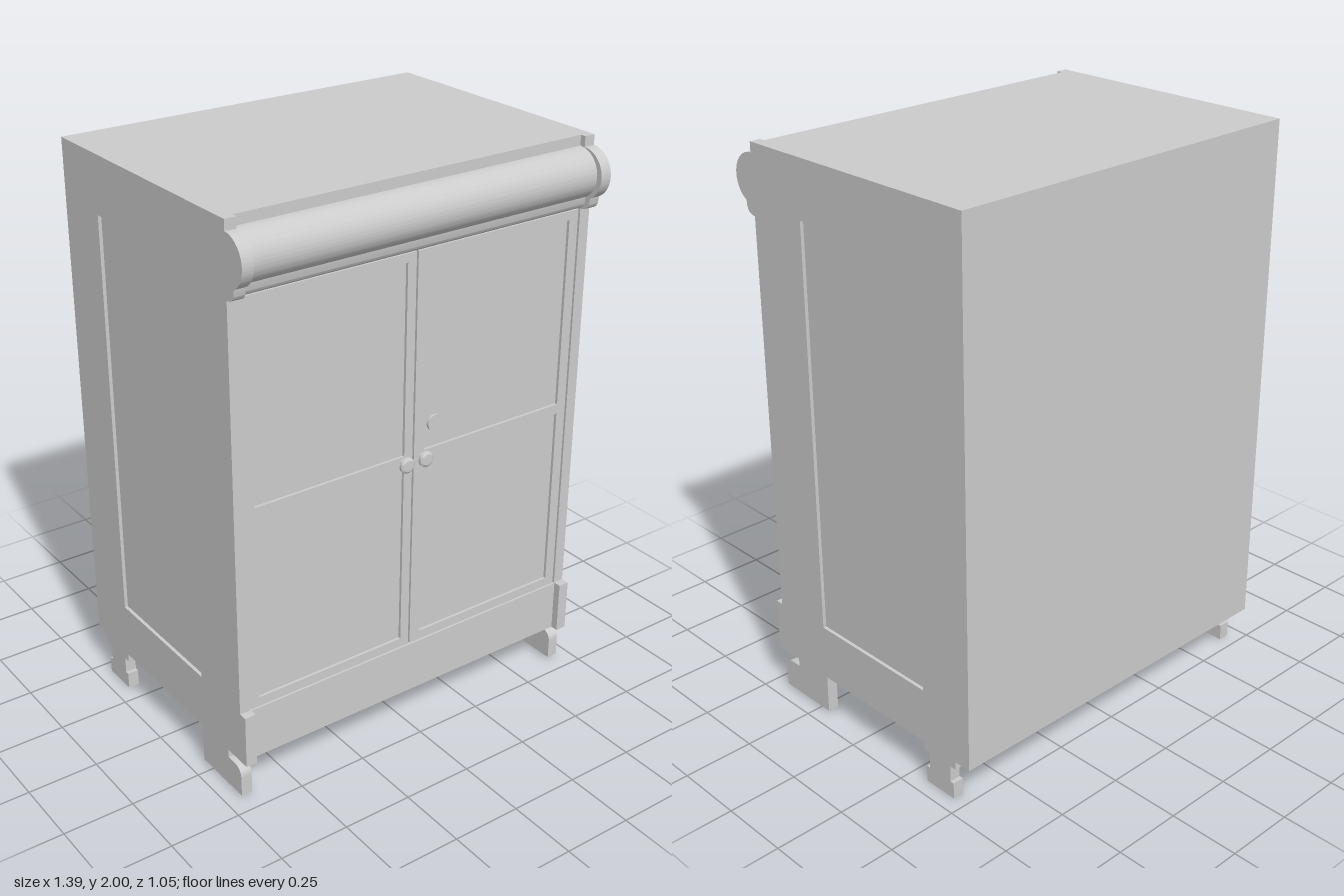
import * as THREE from 'three';
import { toCreasedNormals } from 'three/addons/utils/BufferGeometryUtils.js';

const material = new THREE.MeshStandardMaterial({ color: 0xcccccc });
const SIDE_X = 0.675, SIDE_T = 0.04, INNER = SIDE_X - SIDE_T / 2;

function add(parent, name, geometry, x = 0, y = 0, z = 0) {
  const mesh = new THREE.Mesh(geometry, material);
  mesh.name = name;
  mesh.position.set(x, y, z);
  parent.add(mesh);
  return mesh;
}

// Box given by its limits
function addBox(parent, name, x0, x1, y0, y1, z0, z1) {
  return add(parent, name, new THREE.BoxGeometry(x1 - x0, y1 - y0, z1 - z0),
    (x0 + x1) / 2, (y0 + y1) / 2, (z0 + z1) / 2);
}

function rectPath(x0, x1, y0, y1, PathClass = THREE.Path) {
  return new PathClass([[x0, y0], [x1, y0], [x1, y1], [x0, y1]].map(p => new THREE.Vector2(...p)));
}

// Extrude a (z, y) profile along x, centred on x = 0
function extrudeAcross(shape, width) {
  const g = new THREE.ExtrudeGeometry(shape, { depth: width, bevelEnabled: false, curveSegments: 20 });
  g.translate(0, 0, -width / 2).rotateY(-Math.PI / 2);
  return toCreasedNormals(g, 0.5);
}

// Rounded roll with a small cove beneath it
function traceCornice(shape, z) {
  shape.lineTo(z, 1.965);
  shape.absarc(z, 1.88, 0.085, Math.PI / 2, -1.08, true);
  shape.lineTo(z + 0.038, 1.79);
  shape.quadraticCurveTo(z + 0.034, 1.76, z, 1.76);
}

// Side silhouette: cornice end, plinth cheek, front and back feet
function sideShape() {
  const s = new THREE.Shape();
  s.moveTo(-0.525, 2);
  s.lineTo(0.44, 2);
  traceCornice(s, 0.44);
  [[0.44, 0.34], [0.47, 0.34], [0.47, 0.15], [0.36, 0.15], [0.36, 0.12], [0.4, 0.12]]
    .forEach(p => s.lineTo(...p));
  s.quadraticCurveTo(0.435, 0.115, 0.435, 0.08);
  [[0.435, 0.01], [0.2, 0.01], [0.2, 0.15], [-0.31, 0.15], [-0.31, 0.12], [-0.335, 0.12],
    [-0.335, 0.06], [-0.32, 0.06], [-0.32, 0], [-0.45, 0], [-0.45, 0.06], [-0.435, 0.06],
    [-0.435, 0.12], [-0.46, 0.12], [-0.46, 0.15], [-0.525, 0.15]]
    .forEach(p => s.lineTo(...p));
  s.closePath();
  s.holes.push(rectPath(-0.31, 0.205, 0.35, 1.8));
  return s;
}

// Framed door with two recessed panels
function addDoor(parent, name, x0, x1, p0, p1) {
  const door = new THREE.Group();
  door.name = name;
  parent.add(door);
  const frame = rectPath(x0, x1, 0.342, 1.76, THREE.Shape);
  for (const [y0, y1] of [[0.375, 1.035], [1.07, 1.73]]) {
    frame.holes.push(rectPath(p0, p1, y0, y1));
    addBox(door, 'doorPanel', p0, p1, y0, y1, 0.415, 0.43);
  }
  add(door, 'doorFrame', new THREE.ExtrudeGeometry(frame, { depth: 0.02, bevelEnabled: false }), 0, 0, 0.42);
}

// Turned knob pointing forward
function knobGeometry() {
  const profile = [[0, 0], [0.012, 0], [0.012, 0.016], [0.027, 0.018], [0.027, 0.027], [0.02, 0.032], [0, 0.033]]
    .map(p => new THREE.Vector2(...p));
  return toCreasedNormals(new THREE.LatheGeometry(profile, 24).rotateX(Math.PI / 2), 0.5);
}

export function createModel() {
  const cabinet = new THREE.Group();
  cabinet.name = 'cabinet';

  // Carcass and plinth
  addBox(cabinet, 'carcass', -INNER, INNER, 0.15, 2, -0.525, 0.42);
  addBox(cabinet, 'plinthBoard', -INNER, INNER, 0.15, 0.338, 0.4, 0.443);

  // Sides with their recessed panels
  const sideGeometry = extrudeAcross(sideShape(), SIDE_T);
  for (const s of [1, -1]) {
    const label = s > 0 ? 'left' : 'right';
    add(cabinet, label + 'Side', sideGeometry, s * SIDE_X);
    add(cabinet, label + 'SidePanel', new THREE.BoxGeometry(0.028, 1.45, 0.515), s * (INNER + 0.014), 1.075, -0.0525);
  }

  // Rolled cornice between the sides
  const cornice = new THREE.Shape();
  cornice.moveTo(0.38, 1.965);
  traceCornice(cornice, 0.42);
  cornice.lineTo(0.38, 1.76);
  cornice.closePath();
  add(cabinet, 'cornice', extrudeAcross(cornice, 2 * INNER));

  // Doors
  addDoor(cabinet, 'rightDoor', -INNER, -0.017, -0.62, -0.05);
  addDoor(cabinet, 'leftDoor', -0.01, 0.647, 0.03, 0.61);

  // Knobs and keyhole plate
  const knob = knobGeometry();
  add(cabinet, 'rightKnob', knob, -0.055, 1.05, 0.44);
  add(cabinet, 'leftKnob', knob, 0.022, 1.05, 0.44);
  add(cabinet, 'keyholePlate', new THREE.CylinderGeometry(0.028, 0.028, 0.012, 24).rotateX(Math.PI / 2), 0.075, 1.155, 0.433);

  return cabinet;
}
